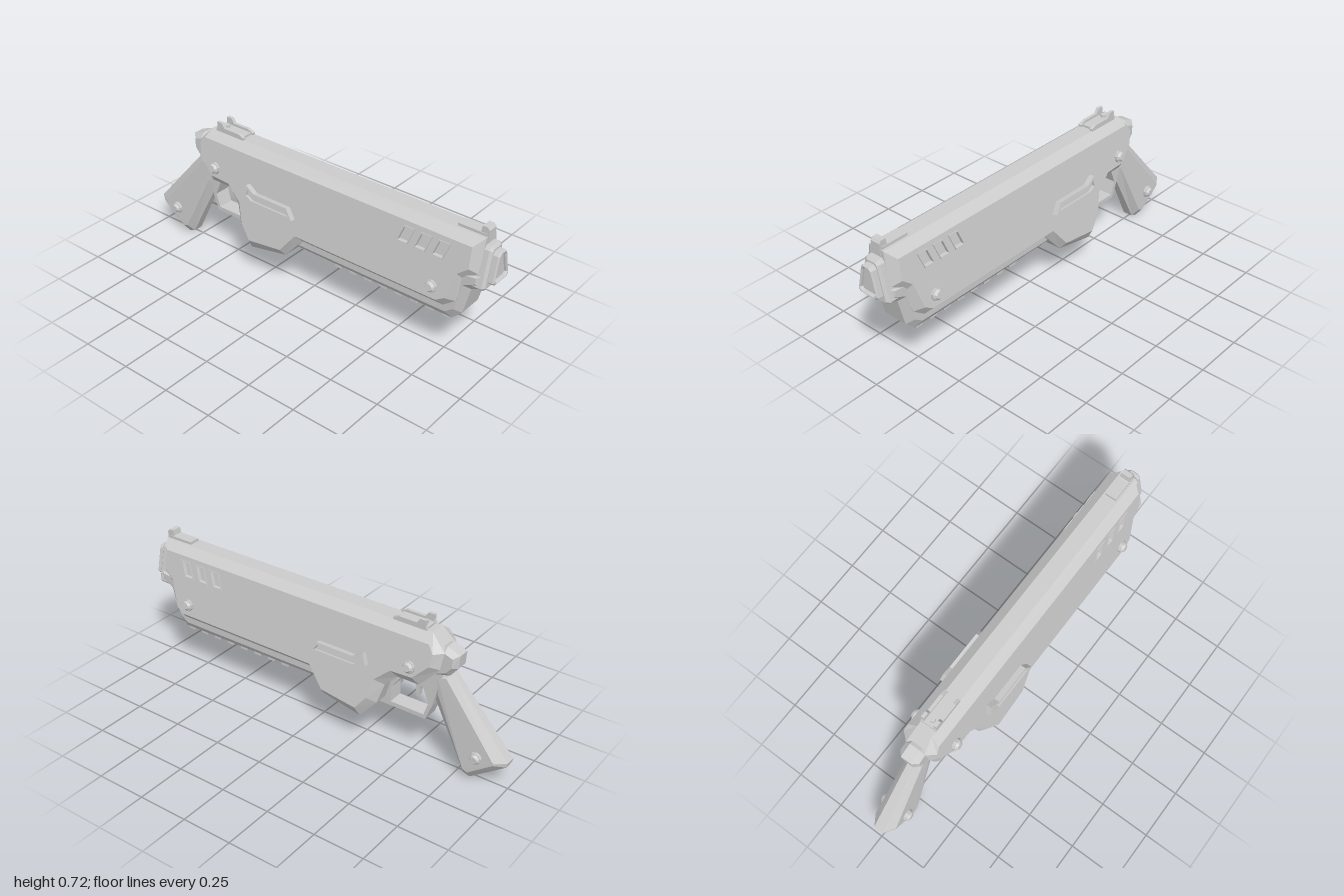
import * as THREE from 'three';

const material = new THREE.MeshStandardMaterial({ color: 0xcccccc, flatShading: true });
const TILT = 0.165; // lean of the side walls

// Half width of the receiver wall at a height
const wall = (y) => 0.085 + (0.64 - y) * 0.167;
const v2 = (p) => new THREE.Vector2(p[0], p[1]);
const shapeOf = (pts) => new THREE.Shape(pts.map(v2));

// Symmetric slab: rim outline, bevelled to an inner outline, with recessed pockets.
// Outlines run clockwise as pairs of [x, y]; zRim and zFace give half widths.
function slab(outer, inner, zRim, zFace, pockets = [], depth = 0.02) {
  const pos = [];
  const tri = (a, b, c) => {
    pos.push(...a, ...b, ...c);
    for (const p of [a, c, b]) pos.push(p[0], p[1], -p[2]);
  };
  const quad = (a, b, c, d) => { tri(a, b, c); tri(a, c, d); };
  const at = (p, z) => [p[0], p[1], z];
  const O = [...outer].reverse(), I = [...inner].reverse();
  const n = O.length;
  for (let i = 0; i < n; i++) {
    const a = O[i], b = O[(i + 1) % n], c = I[(i + 1) % n], d = I[i];
    quad(at(a, 0), at(b, 0), at(b, zRim(b)), at(a, zRim(a)));
    quad(at(a, zRim(a)), at(b, zRim(b)), at(c, zFace(c)), at(d, zFace(d)));
  }
  const all = [...I, ...pockets.flat()];
  for (const f of THREE.ShapeUtils.triangulateShape(I.map(v2), pockets.map((h) => h.map(v2)))) {
    tri(...f.map((k) => at(all[k], zFace(all[k]))));
  }
  for (const h of pockets) {
    const low = (p) => at(p, zFace(p) - depth);
    h.forEach((p, i) => {
      const q = h[(i + 1) % h.length];
      quad(low(p), low(q), at(q, zFace(q)), at(p, zFace(p)));
    });
    for (let i = 1; i < h.length - 1; i++) tri(low(h[0]), low(h[i + 1]), low(h[i]));
  }
  const g = new THREE.BufferGeometry();
  g.setAttribute('position', new THREE.Float32BufferAttribute(pos, 3));
  g.computeVertexNormals();
  return g;
}

// Mirror a geometry across z = 0, keeping its faces outward
function mirrorZ(geometry) {
  const g = geometry.index ? geometry.toNonIndexed() : geometry.clone();
  const p = g.attributes.position, src = p.array.slice();
  for (let i = 0; i < p.count; i++) {
    const k = i - (i % 3) + [0, 2, 1][i % 3];
    p.setXYZ(i, src[k * 3], src[k * 3 + 1], -src[k * 3 + 2]);
  }
  g.computeVertexNormals();
  return g;
}

function extrude(pts, depth, hole, bevel = 0) {
  const s = shapeOf(pts);
  if (hole) s.holes.push(new THREE.Path(hole.map(v2)));
  return new THREE.ExtrudeGeometry(s, {
    depth, bevelEnabled: bevel > 0, bevelSize: bevel, bevelThickness: bevel, bevelOffset: -bevel, bevelSegments: 1,
  });
}

export function createModel() {
  const group = new THREE.Group();
  const add = (name, geometry) => {
    const m = new THREE.Mesh(geometry, material);
    m.name = name;
    group.add(m);
    return m;
  };
  const pair = (name, geometry) => {
    add(name + 'Left', geometry);
    add(name + 'Right', mirrorZ(geometry));
  };
  const box = (name, x0, x1, y0, y1, z0, z1) =>
    add(name, new THREE.BoxGeometry(x1 - x0, y1 - y0, z1 - z0)
      .translate((x0 + x1) / 2, (y0 + y1) / 2, (z0 + z1) / 2));

  // Receiver with three slanted vents
  const vents = [0, 1, 2].map((i) => {
    const x = 0.54 + i * 0.09;
    return [[x, 0.54], [x + 0.025, 0.61], [x + 0.075, 0.61], [x + 0.05, 0.54]];
  });
  add('receiver', slab(
    [[-0.60, 0.675], [0.935, 0.675], [0.935, 0.51], [0.875, 0.46], [0.845, 0.35], [0.79, 0.31],
      [0.01, 0.31], [-0.08, 0.205], [-0.29, 0.168], [-0.37, 0.26], [-0.40, 0.36], [-0.46, 0.42],
      [-0.57, 0.42], [-0.66, 0.52], [-0.67, 0.60]],
    [[-0.61, 0.64], [0.90, 0.64], [0.90, 0.54], [0.85, 0.50], [0.81, 0.37], [0.77, 0.345],
      [-0.01, 0.345], [-0.09, 0.245], [-0.28, 0.222], [-0.335, 0.29], [-0.36, 0.39], [-0.44, 0.46],
      [-0.55, 0.465], [-0.625, 0.54], [-0.635, 0.60]],
    (p) => wall(p[1]) - 0.04, (p) => wall(p[1]), vents, 0.018));
  // Raised vent rims
  vents.forEach((v, i) => {
    const [cx, cy] = [v[0][0] + 0.0375, 0.575];
    const local = v.map(([x, y]) => [x - cx, y - cy]);
    const rim = extrude(local.map(([x, y]) => [x * 1.18, y * 1.18]), 0.01, local);
    pair('ventRim' + (i + 1), rim.rotateX(-TILT).translate(cx, cy, wall(cy) - 0.005));
  });

  // Fore-end under the barrel
  add('foreEnd', slab(
    [[-0.10, 0.40], [0.80, 0.40], [0.85, 0.51], [0.96, 0.51], [0.96, 0.45], [0.90, 0.42],
      [0.865, 0.28], [0.815, 0.232], [-0.10, 0.237]],
    [[-0.10, 0.38], [0.79, 0.38], [0.84, 0.49], [0.93, 0.50], [0.93, 0.47], [0.87, 0.44],
      [0.835, 0.30], [0.79, 0.268], [-0.10, 0.268]],
    () => 0.062, () => 0.088));
  // Grip ribs along the underside
  for (let i = 0; i < 8; i++) {
    const x = 0.16 + i * 0.085;
    const rib = extrude([[x, 0.245], [x + 0.012, 0.22], [x + 0.05, 0.22], [x + 0.062, 0.245]], 0.12);
    add('rib' + (i + 1), rib.translate(0, 0, -0.06));
  }

  // Muzzle: tapered collar and hollow bore block, extruded along x
  const trapezoid = (top, bottom, y0, y1) => {
    const c = Math.min(0.015, top / 2);
    return [[-bottom, y0 + c], [-bottom + c, y0], [bottom - c, y0], [bottom, y0 + c],
      [top, y1 - c], [top - c, y1], [-top + c, y1], [-top, y1 - c]];
  };
  add('muzzleCollar', extrude(trapezoid(0.045, 0.085, 0.44, 0.64), 0.085, null, 0.012)
    .rotateY(Math.PI / 2).translate(0.873, 0, 0));
  const bore = trapezoid(0.022, 0.045, 0.485, 0.605);
  add('muzzle', extrude(trapezoid(0.033, 0.06, 0.47, 0.62), 0.07, bore, 0.006)
    .rotateY(Math.PI / 2).translate(0.924, 0, 0));
  add('boreFace', extrude(bore, 0.05).rotateY(Math.PI / 2).translate(0.935, 0, 0));

  // Handle, and the rounded tang above it
  add('handle', slab(
    [[-1.0, 0.15], [-0.695, 0.50], [-0.60, 0.47], [-0.605, 0.36], [-0.785, 0.012], [-0.82, 0],
      [-0.995, 0.128]],
    [[-0.945, 0.148], [-0.68, 0.47], [-0.635, 0.46], [-0.645, 0.37], [-0.80, 0.055], [-0.825, 0.045],
      [-0.945, 0.135]],
    (p) => (p[1] > 0.3 ? 0.016 : 0.025), (p) => (p[1] > 0.3 ? 0.04 : 0.06)));
  add('tang', slab(
    [[-0.735, 0.60], [-0.67, 0.625], [-0.60, 0.60], [-0.60, 0.46], [-0.69, 0.485], [-0.73, 0.535]],
    [[-0.71, 0.585], [-0.67, 0.60], [-0.62, 0.58], [-0.62, 0.48], [-0.68, 0.505], [-0.71, 0.54]],
    () => 0.028, () => 0.052));

  // Trigger guard and trigger
  add('triggerGuard', extrude(
    [[-0.66, 0.48], [-0.615, 0.30], [-0.585, 0.222], [-0.34, 0.222], [-0.34, 0.46]], 0.08,
    [[-0.597, 0.31], [-0.575, 0.243], [-0.40, 0.243], [-0.40, 0.32], [-0.45, 0.387], [-0.565, 0.387]])
    .translate(0, 0, -0.04));
  add('trigger', extrude(
    [[-0.55, 0.40], [-0.535, 0.35], [-0.53, 0.31], [-0.52, 0.31], [-0.515, 0.36], [-0.50, 0.40]], 0.03)
    .translate(0, 0, -0.015));

  // Raised side badge: framed angled bar
  const badge = [[-0.325, 0.45], [-0.27, 0.425], [-0.02, 0.425], [-0.055, 0.475], [-0.255, 0.475], [-0.305, 0.505]];
  const inset = [[-0.30, 0.455], [-0.265, 0.437], [-0.045, 0.437], [-0.063, 0.463], [-0.26, 0.463], [-0.295, 0.485]];
  const local = (pts) => pts.map(([x, y]) => [x, y - 0.45]);
  const place = (g) => g.rotateX(-TILT).translate(0, 0.45, wall(0.45) - 0.005);
  pair('badgeFrame', place(extrude(local(badge), 0.033, local(inset))));
  pair('badgeFloor', place(extrude(local(inset), 0.02)));

  // Bolts
  [['rearBolt', -0.53, 0.51, wall(0.51)], ['frontBolt', 0.74, 0.40, wall(0.40)], ['handleBolt', -0.862, 0.14, 0.058]]
    .forEach(([name, x, y, z], i) => {
      const tilt = i < 2 ? -TILT : 0;
      const base = new THREE.CylinderGeometry(0.03, 0.03, 0.02, 10).rotateX(Math.PI / 2);
      const head = new THREE.CylinderGeometry(0.017, 0.026, 0.012, 10).rotateX(Math.PI / 2).translate(0, 0, 0.016);
      pair(name + 'Base', base.rotateX(tilt).translate(x, y, z + 0.003));
      pair(name + 'Head', head.rotateX(tilt).translate(x, y, z + 0.003));
    });

  // Rear sight: base, two winged rails and an adjusting screw
  box('rearSightBase', -0.57, -0.41, 0.665, 0.685, -0.038, 0.038);
  pair('rearSightRail', extrude(
    [[-0.58, 0.66], [-0.40, 0.66], [-0.40, 0.685], [-0.43, 0.697], [-0.52, 0.697], [-0.535, 0.72], [-0.565, 0.72], [-0.565, 0.695]],
    0.016).translate(0, 0, 0.026));
  add('rearSightScrew', new THREE.CylinderGeometry(0.014, 0.014, 0.014, 10).translate(-0.54, 0.69, 0));

  // Front sight: ramp and blade
  box('frontSightRamp', 0.79, 0.93, 0.66, 0.688, -0.028, 0.028);
  add('frontSightBlade', extrude(
    [[0.88, 0.68], [0.905, 0.65], [0.94, 0.65], [0.94, 0.705], [0.93, 0.718], [0.905, 0.718], [0.90, 0.69]], 0.05)
    .translate(0, 0, -0.025));

  return group;
}
